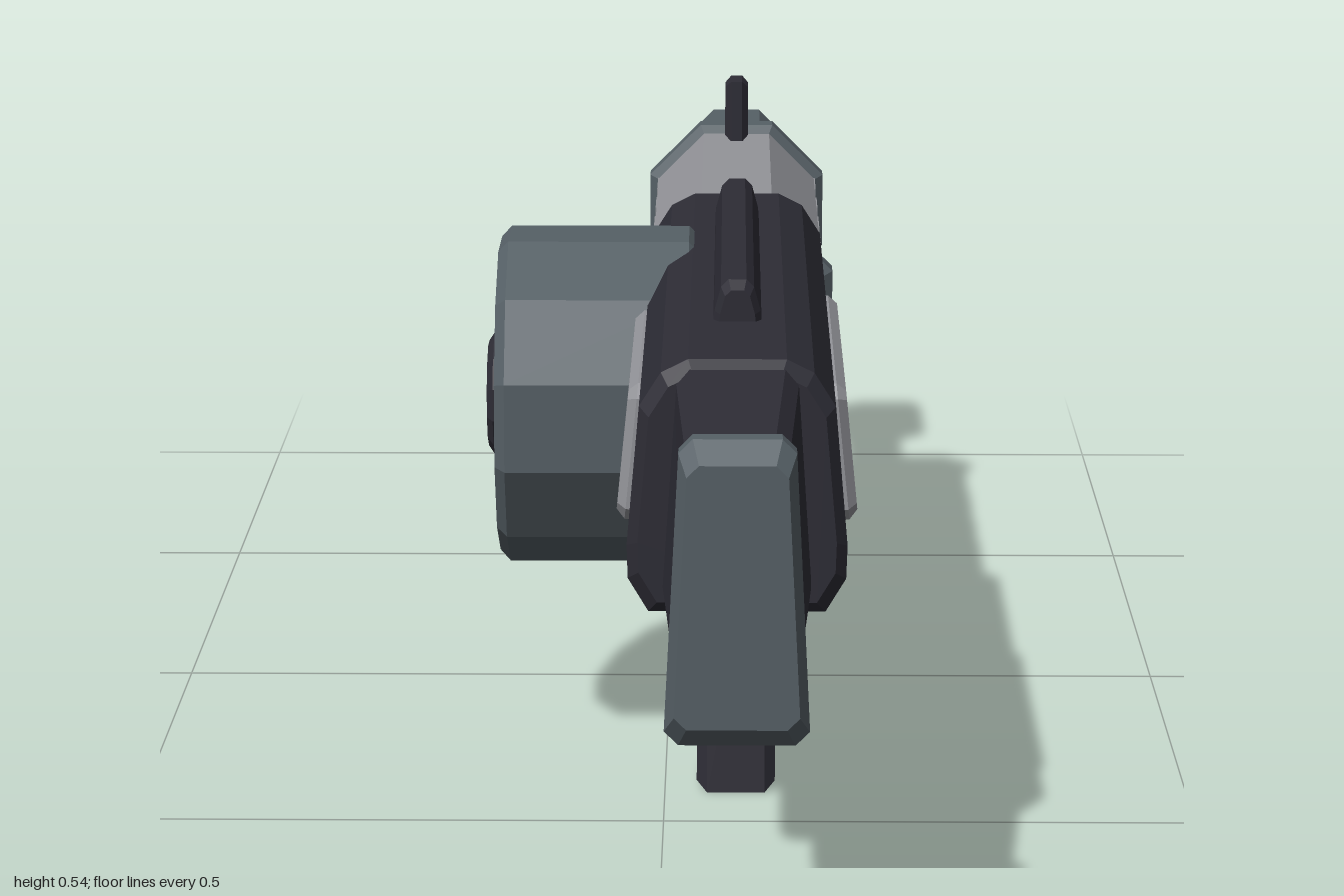
import * as THREE from 'three';

const mat = (name, color) => {
  const m = new THREE.MeshStandardMaterial({ color, flatShading: true });
  m.name = name;
  return m;
};

// Skins a list of equal-length rings (anticlockwise seen from +z, z rising) and caps both ends
function loft(rings) {
  const v = [];
  const n = rings[0].length;
  const tri = (a, b, c) => v.push(...a, ...b, ...c);
  for (let k = 0; k < rings.length - 1; k++) {
    const a = rings[k], b = rings[k + 1];
    for (let i = 0; i < n; i++) {
      const j = (i + 1) % n;
      tri(a[i], a[j], b[j]);
      tri(a[i], b[j], b[i]);
    }
  }
  const first = rings[0], last = rings[rings.length - 1];
  for (let i = 1; i < n - 1; i++) {
    tri(first[0], first[i + 1], first[i]);
    tri(last[0], last[i], last[i + 1]);
  }
  const g = new THREE.BufferGeometry();
  g.setAttribute('position', new THREE.Float32BufferAttribute(v, 3));
  g.computeVertexNormals();
  return g;
}

// Mirrors a right-hand outline (bottom to top) into a full ring at depth z, which may depend on y
function ring(half, z) {
  const zAt = typeof z === 'function' ? z : () => z;
  const right = half.map(([x, y]) => [x, y, zAt(y)]);
  const left = half.map(([x, y]) => [-x, y, zAt(y)]).reverse();
  return [...right, ...left];
}

// Chamfered trapezoid half outline
const trapezoid = (wBottom, wTop, y0, y1, c) =>
  [[wBottom - c, y0], [wBottom, y0 + c], [wTop, y1 - c], [wTop - c, y1]];

// Shrinks a half outline about a height
const inset = (half, s, cy) => half.map(([x, y]) => [x * s, cy + (y - cy) * s]);

// Octagon half outline with flat sides
const AXIS = 0.377;
const octagon = (r) => {
  const t = r * Math.tan(Math.PI / 8);
  return [[t, AXIS - r], [r, AXIS - t], [r, AXIS + t], [t, AXIS + r]];
};

// Bevelled slab from a side outline of [z, y] points, centred on x = 0
function slab(points, width, bevel) {
  const shape = new THREE.Shape(points.map(([z, y]) => new THREE.Vector2(z, y)));
  const g = new THREE.ExtrudeGeometry(shape, {
    depth: width - 2 * bevel, bevelEnabled: true, bevelSegments: 1,
    bevelThickness: bevel, bevelSize: bevel, bevelOffset: -bevel,
  });
  g.translate(0, 0, -width / 2 + bevel);
  g.rotateY(-Math.PI / 2);
  return g;
}

export function createModel() {
  const dark = mat('darkPolymer', 0x2d2c35);
  const steel = mat('blueGreySteel', 0x566066);
  const light = mat('lightMetal', 0x939499);

  const model = new THREE.Group();
  const gun = new THREE.Group();
  gun.name = 'gun';
  gun.position.x = 0.068;
  model.add(gun);
  const add = (name, geometry, material) => {
    const m = new THREE.Mesh(geometry, material);
    m.name = name;
    gun.add(m);
    return m;
  };

  // Receiver with bevelled ends
  const body = [[0.078, 0.27], [0.096, 0.3], [0.097, 0.33], [0.086, 0.455], [0.067, 0.485], [0.043, 0.497]];
  const bodyEnd = inset(body, 0.9, 0.38);
  add('receiver', loft([ring(bodyEnd, -0.085), ring(body, -0.07), ring(body, 0.74), ring(bodyEnd, 0.752)]), dark);

  // Sloping side panels
  for (const side of [-1, 1]) {
    const c = 0.012, z = 0.21, y = 0.063;
    const panel = add(side > 0 ? 'leftPanel' : 'rightPanel', slab([
      [-z + c, -y], [z - c, -y], [z, -y + c], [z, y - c],
      [z - c, y], [-z + c, y], [-z, y - c], [-z, -y + c],
    ], 0.04, 0.008), light);
    panel.position.set(side * 0.083, 0.387, 0.43);
    panel.rotation.z = side * 0.1;
  }

  // Top rail
  const rail = [[0.023, 0.485], [0.021, 0.505], [0.015, 0.527], [0.008, 0.534]];
  const railEnd = inset(rail, 0.75, 0.5);
  add('topRail', loft([ring(railEnd, 0.04), ring(rail, 0.05), ring(rail, 0.57), ring(railEnd, 0.58)]), dark);

  // Stock and butt plate
  add('stock', loft([
    ring(trapezoid(0.066, 0.054, 0.285, 0.49, 0.012), 0.74),
    ring(trapezoid(0.05, 0.042, 0.25, 0.467, 0.012), 0.965),
  ]), dark);
  const butt = trapezoid(0.061, 0.049, 0.22, 0.482, 0.012);
  add('buttPlate', loft([
    ring(inset(butt, 0.93, 0.35), 0.952), ring(butt, 0.963),
    ring(butt, 0.982), ring(inset(butt, 0.86, 0.35), 1),
  ]), steel);

  // Grips
  add('rearGrip', slab([[0.41, 0], [0.315, 0], [0.255, 0.29], [0.372, 0.29]], 0.075, 0.01), dark);
  add('frontGrip', slab([[-0.227, 0.085], [-0.315, 0.085], [-0.295, 0.295], [-0.188, 0.295]], 0.075, 0.01), dark);

  // Slotted handguard: upper and lower halves joined by posts between the slots
  const r = 0.09, t = r * Math.tan(Math.PI / 8), gap = 0.0385;
  const edge = r - (gap - t);
  const upper = [[edge, AXIS + gap], [t, AXIS + r]];
  const lower = [[t, AXIS - r], [edge, AXIS - gap]];
  for (const [name, half] of [['handguardTop', upper], ['handguardBottom', lower]]) {
    add(name, loft([ring(half, -0.64), ring(half, -0.07)]), light);
  }
  const posts = [[-0.155, -0.07], [-0.273, -0.204], [-0.38, -0.32], [-0.498, -0.434], [-0.64, -0.552]];
  for (const [z0, z1] of posts) {
    const post = add('handguardPost', new THREE.BoxGeometry(2 * r, 2 * gap, z1 - z0), light);
    post.position.set(0, AXIS, (z0 + z1) / 2);
  }

  // Collars at both ends of the handguard
  for (const [name, z0, z1] of [['rearCollar', -0.096, -0.048], ['frontCollar', -0.667, -0.62]]) {
    add(name, loft([
      ring(octagon(0.088), z0), ring(octagon(0.099), z0 + 0.01),
      ring(octagon(0.099), z1 - 0.01), ring(octagon(0.088), z1),
    ]), steel);
  }

  // Front sight
  add('frontSight', slab([[-0.62, 0.466], [-0.572, 0.466], [-0.572, 0.535], [-0.62, 0.535]], 0.026, 0.007), dark);

  // Barrel and slanted muzzle
  const barrel = add('barrel', new THREE.CylinderGeometry(0.031, 0.031, 0.22, 8), dark);
  barrel.rotation.set(Math.PI / 2, Math.PI / 8, 0);
  barrel.position.set(0, AXIS, -0.75);
  const muzzle = trapezoid(0.05, 0.05, 0.325, 0.435, 0.022);
  const muzzleEnd = inset(muzzle, 0.88, 0.38);
  const slant = (z) => (y) => z - (y - 0.325) * 0.24;
  const back = (z) => (y) => z - Math.max(0, 0.37 - y) * 0.5;
  add('muzzle', loft([
    ring(muzzleEnd, slant(-0.974)), ring(muzzle, slant(-0.964)),
    ring(muzzle, back(-0.83)), ring(muzzleEnd, back(-0.82)),
  ]), steel);

  // Drum magazine on the right, axis along x, with a hub cap
  const drumProfile = [[0, -0.1], [0.155, -0.1], [0.166, -0.09], [0.166, 0.086], [0.155, 0.096], [0, 0.096]];
  const hubProfile = [[0, -0.02], [0.061, -0.02], [0.061, 0.006], [0.052, 0.012], [0, 0.012]];
  const disc = (name, profile, x, material) => {
    const g = new THREE.LatheGeometry(profile.map(([a, b]) => new THREE.Vector2(a, b)), 12);
    g.rotateY(Math.PI / 12);
    g.rotateZ(Math.PI / 2);
    add(name, g, material).position.set(x, 0.342, 0.183);
  };
  disc('drumMagazine', drumProfile, -0.137, steel);
  disc('drumHub', hubProfile, -0.233, dark);

  return model;
}
